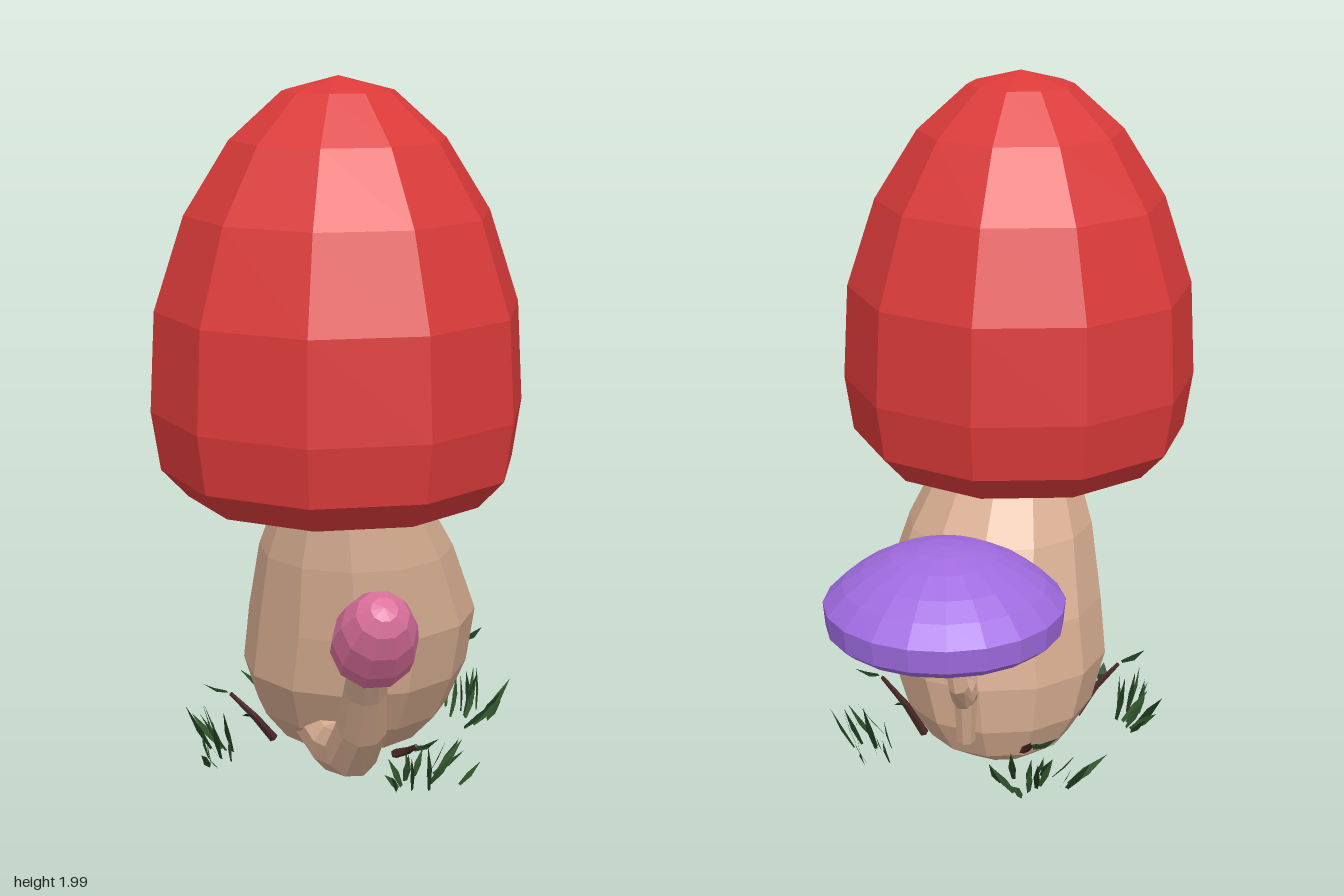
import * as THREE from 'three';

const mat = (name, color, extra = {}) => Object.assign(
  new THREE.MeshStandardMaterial({ color, flatShading: true, ...extra }), { name });

// Skin a list of [x, y, z, radius] rings; "level" keeps every ring horizontal
function loft(rings, sides, level = false) {
  const pos = [], idx = [];
  const pts = rings.map(r => new THREE.Vector3(r[0], r[1], r[2]));
  const last = rings.length - 1;
  rings.forEach((ring, i) => {
    const t = level ? new THREE.Vector3(0, 1, 0)
      : pts[Math.min(i + 1, last)].clone().sub(pts[Math.max(i - 1, 0)]).normalize();
    const u = new THREE.Vector3(1, 0, 0).addScaledVector(t, -t.x).normalize();
    const v = t.clone().cross(u);
    for (let j = 0; j < sides; j++) {
      const a = (j / sides) * Math.PI * 2;
      const p = pts[i].clone().addScaledVector(u, Math.cos(a) * ring[3]).addScaledVector(v, Math.sin(a) * ring[3]);
      pos.push(p.x, p.y, p.z);
    }
  });
  for (let i = 0; i < last; i++) for (let j = 0; j < sides; j++) {
    const a = i * sides + j, b = i * sides + (j + 1) % sides;
    idx.push(a, b, a + sides, b, b + sides, a + sides);
  }
  const start = pos.length / 3, end = start + 1;
  pos.push(...pts[0].toArray(), ...pts[last].toArray());
  for (let j = 0; j < sides; j++) {
    const k = (j + 1) % sides;
    idx.push(start, k, j, end, last * sides + j, last * sides + k);
  }
  const g = new THREE.BufferGeometry();
  g.setAttribute('position', new THREE.Float32BufferAttribute(pos, 3));
  g.setIndex(idx);
  g.computeVertexNormals();
  return g;
}

// Turned cap from [radius, height] pairs, underside first
const lathe = (profile, sides) =>
  new THREE.LatheGeometry(profile.map(p => new THREE.Vector2(...p)), sides);

// Pointed flat blade, one unit tall, widest part way up
function bladeGeometry() {
  const g = new THREE.BufferGeometry();
  g.setAttribute('position', new THREE.Float32BufferAttribute(
    [-0.25, 0, 0, 0.25, 0, 0, 0.5, 0.45, 0.1, 0, 1, 0, -0.5, 0.45, 0.1], 3));
  g.setIndex([0, 1, 2, 0, 2, 4, 4, 2, 3]);
  g.computeVertexNormals();
  return g;
}

export function createModel() {
  const model = new THREE.Group();
  const red = mat('red cap', 0xdc3b3a), purple = mat('purple cap', 0xa06be0);
  const pink = mat('pink cap', 0xdc719c), tan = mat('tan stem', 0xd6ac90);
  const green = mat('grass green', 0x335a2e, { side: THREE.DoubleSide });
  const dark = mat('leaf green', 0x1f3a20, { side: THREE.DoubleSide });
  const brown = mat('twig brown', 0x4a2a26);
  const add = (name, geometry, material, parent = model) => {
    const m = new THREE.Mesh(geometry, material);
    m.name = name;
    parent.add(m);
    return m;
  };

  // Large mushroom
  add('largeCap', lathe([[0, 0.98], [0.22, 0.93], [0.3, 0.87], [0.425, 0.845], [0.5, 0.925], [0.525, 1.09],
    [0.51, 1.37], [0.425, 1.63], [0.3, 1.83], [0.155, 1.96], [0, 2]], 10), red).position.set(-0.15, 0, 0.17);
  add('largeStem', loft([[0, 0.01, -0.08, 0.12], [-0.01, 0.045, -0.03, 0.215], [-0.02, 0.14, 0, 0.285],
    [-0.03, 0.28, 0.035, 0.33], [-0.025, 0.45, 0.07, 0.332], [-0.07, 0.66, 0.12, 0.28],
    [-0.12, 0.86, 0.18, 0.195], [-0.14, 0.98, 0.18, 0.17]], 12, true), tan);

  // Flat mushroom behind
  add('flatCap', lathe([[0, 0.69], [0.17, 0.67], [0.22, 0.635], [0.29, 0.615], [0.32, 0.64], [0.326, 0.705],
    [0.275, 0.757], [0.22, 0.797], [0.145, 0.835], [0.07, 0.855], [0, 0.86]], 20), purple)
    .position.set(0.325, 0, -0.51);
  add('flatStem', loft([[0.16, 0.11, -0.21, 0.028], [0.17, 0.26, -0.235, 0.034], [0.19, 0.32, -0.3, 0.034],
    [0.25, 0.365, -0.44, 0.03], [0.28, 0.43, -0.49, 0.028], [0.31, 0.6, -0.5, 0.022],
    [0.32, 0.69, -0.505, 0.022]], 7), tan);

  // Small budding mushroom in front
  const bud = add('budCap', lathe([[0, 0.04], [0.06, 0.02], [0.09, 0], [0.112, 0.04], [0.115, 0.1], [0.1, 0.18],
    [0.07, 0.245], [0.035, 0.275], [0, 0.285]], 10), pink);
  bud.position.set(-0.29, 0.515, 0.62);
  bud.quaternion.setFromUnitVectors(new THREE.Vector3(0, 1, 0), new THREE.Vector3(-0.06, 0.2, 0.19).normalize());
  add('budStem', loft([[-0.18, 0.13, 0.1, 0.075], [-0.2, 0.11, 0.25, 0.075], [-0.21, 0.14, 0.36, 0.078],
    [-0.225, 0.25, 0.45, 0.072], [-0.255, 0.39, 0.53, 0.06], [-0.285, 0.5, 0.605, 0.052],
    [-0.3, 0.56, 0.655, 0.045]], 9), tan);

  // Grass tufts, each with blades fanning out and a leafy twig
  let seed = 7;
  const rand = () => (seed = (seed * 16807) % 2147483647) / 2147483647;
  const blade = bladeGeometry();
  const tufts = [[0.38, 0, 0.28], [0, -0.37, 0.14], [0, 0.39, 0.12], [-0.42, -0.07, 0.22]];
  for (const [x, z, twigTop] of tufts) {
    const tuft = new THREE.Group();
    tuft.name = 'grassTuft';
    tuft.position.set(x, 0.01, z);
    tuft.rotation.y = Math.atan2(x, z);
    model.add(tuft);
    for (let i = 0; i < 14; i++) {
      const b = add('grassBlade', blade, i % 3 ? green : dark, tuft);
      const side = (i / 13 - 0.5) * 2;
      b.position.set(side * 0.09, 0, (rand() - 0.5) * 0.12);
      b.rotation.set(0.1 + rand() * 0.5, (rand() - 0.5) * 1.6, -side * 0.7 + (rand() - 0.5) * 0.4, 'ZXY');
      b.scale.set(0.018 + rand() * 0.008, 0.09 + rand() * 0.06, 0.03);
    }
    add('twig', loft([[0, 0.03, -0.16, 0.014], [0.01, twigTop * 0.5, -0.1, 0.011],
      [0, twigTop * 0.85, -0.03, 0.006]], 5), brown, tuft);
    for (const [px, py, pz, turn] of [[0, 0.88, -0.02, 0], [0.02, 0.55, -0.08, 1.2]]) {
      const leaf = add('leaf', blade, dark, tuft);
      leaf.position.set(px, twigTop * py, pz);
      leaf.rotation.set(1.15, turn, 0, 'YXZ');
      leaf.scale.set(0.035, 0.08, 0.06);
    }
  }
  return model;
}
